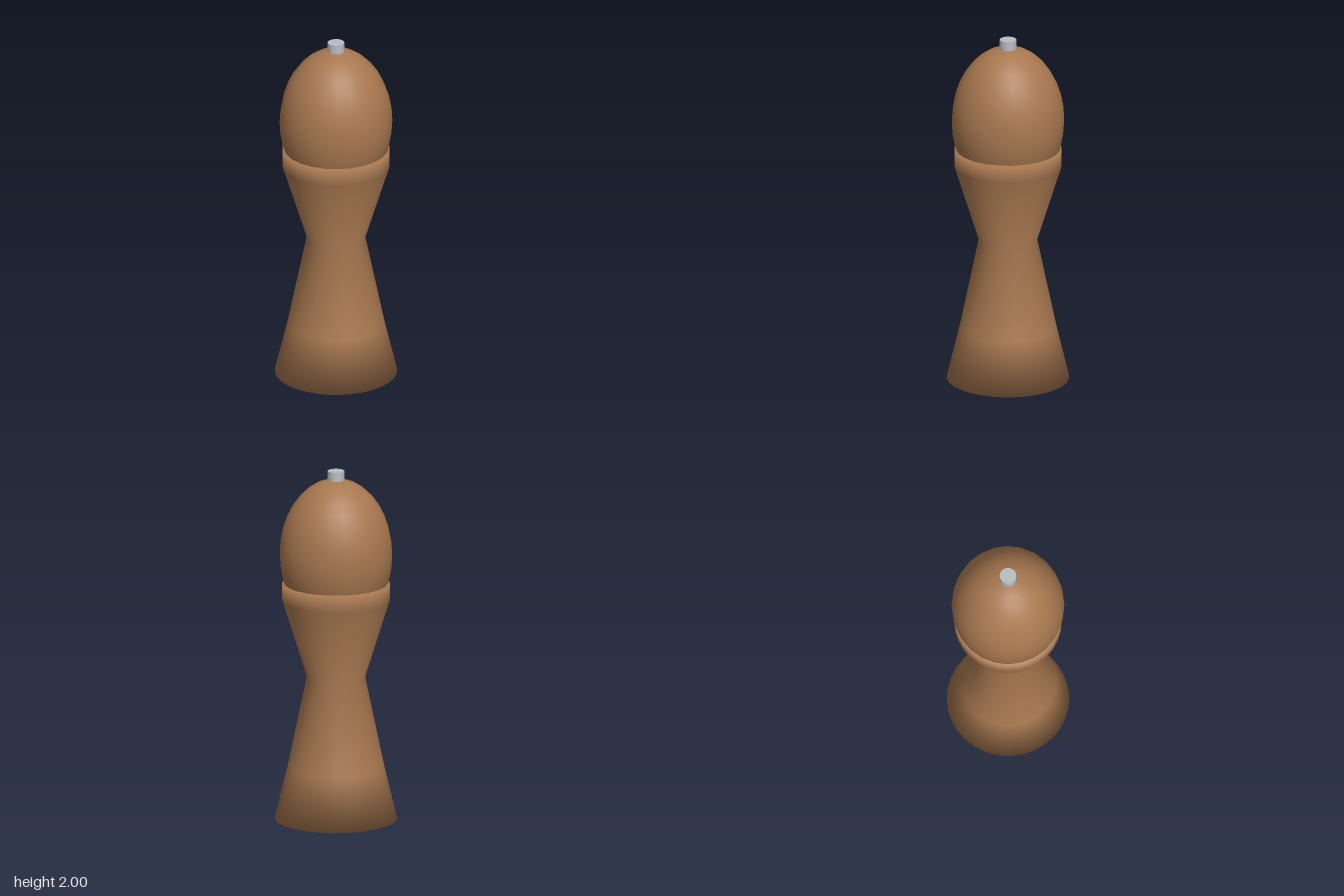
import * as THREE from 'three';

const wood = new THREE.MeshStandardMaterial({ color: 0xa87850 });
wood.name = 'warm wood';
const steel = new THREE.MeshStandardMaterial({ color: 0xb9bec3 });
steel.name = 'steel';

function addPart(group, name, geometry, material, y = 0) {
  const mesh = new THREE.Mesh(geometry, material);
  mesh.name = name;
  mesh.position.y = y;
  group.add(mesh);
  return mesh;
}

export function createModel() {
  const mill = new THREE.Group();
  mill.name = 'pepperMill';

  // Turned body: flared foot, narrow waist, straight collar, closed at both ends
  const profile = [
    [0, 0], [0.342, 0], [0.27, 0.3], [0.163, 0.816],
    [0.3, 1.255], [0.3, 1.355], [0, 1.355],
  ].map(([r, y]) => new THREE.Vector2(r, y));
  addPart(mill, 'body', new THREE.LatheGeometry(profile, 32), wood);

  // Egg-shaped head, its lower part sunk into the collar
  const head = new THREE.SphereGeometry(0.315, 24, 18);
  head.scale(1, 0.432 / 0.315, 1);
  addPart(mill, 'head', head, wood, 1.52);

  // Metal nut on top
  addPart(mill, 'topNut', new THREE.CylinderGeometry(0.047, 0.047, 0.08, 16), steel, 1.96);

  return mill;
}
